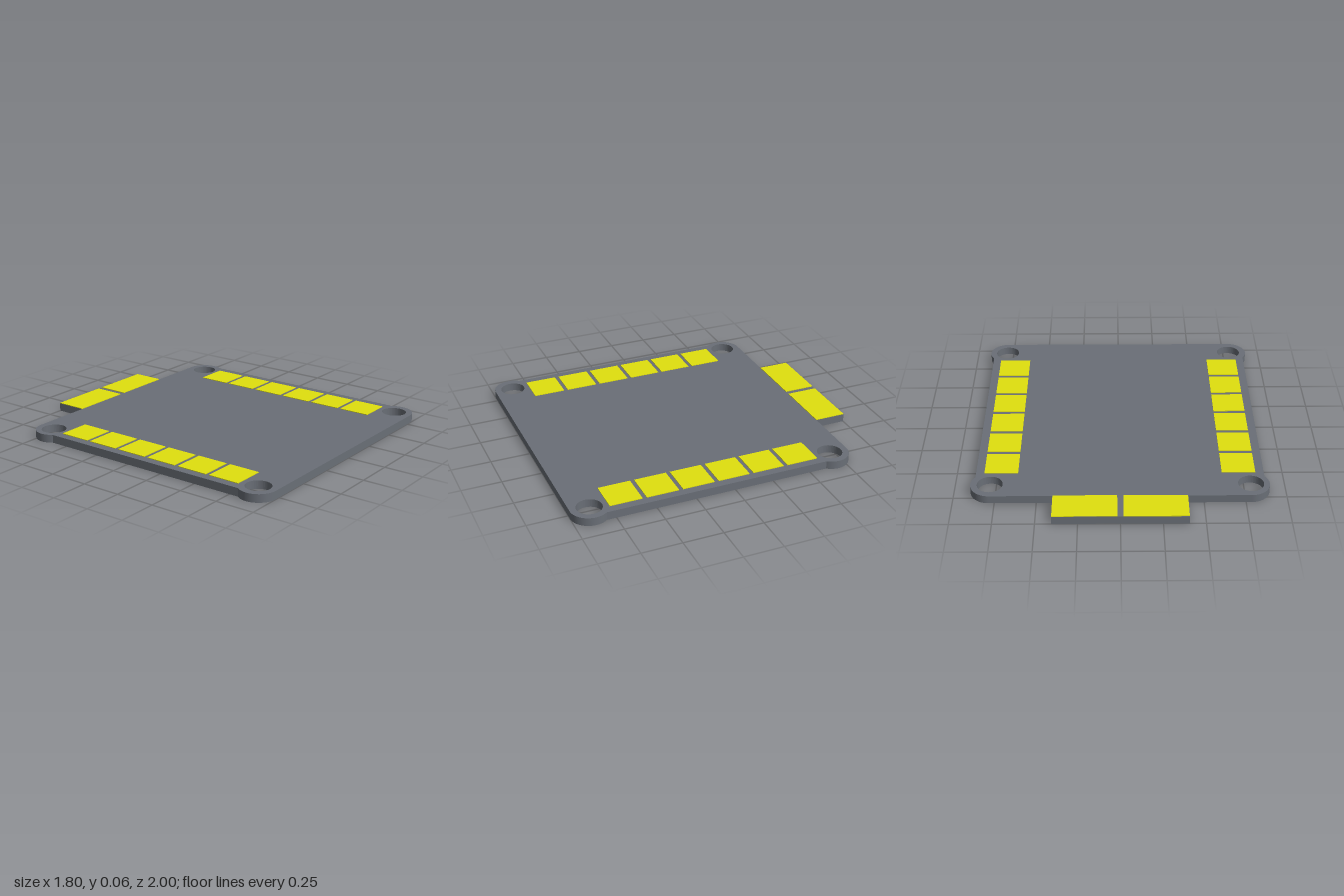
import * as THREE from 'three';

const TOP = 0.052;      // board surface
const PAD_TOP = 0.056;  // contact surface

export function createModel() {
  const group = new THREE.Group();
  group.name = 'circuitBoard';
  const boardMat = new THREE.MeshStandardMaterial({ color: 0x6a6f77 });
  const padMat = new THREE.MeshStandardMaterial({ color: 0xe0e00e });

  // Board outline: round lugs on the corners, connector tab at the back (shape y = -z)
  const X = 0.783, BACK = 0.682, FRONT = -0.882, R = 0.118;
  const Q = Math.PI / 2, A = Math.acos((0.876 - X) / R);
  const shape = new THREE.Shape();
  shape.moveTo(X, FRONT - R);
  shape.absarc(X, FRONT, R, -Q, A);
  shape.absarc(X, BACK, R, -A, Q);
  for (const [x, y] of [[0.403, 0.8], [0.403, 1], [-0.403, 1], [-0.403, 0.8]]) shape.lineTo(x, y);
  shape.absarc(-X, BACK, R, Q, Math.PI + A);
  shape.absarc(-X, FRONT, R, Math.PI - A, 3 * Q);
  shape.closePath();

  // Mounting holes
  for (const [x, y] of [[X, BACK], [X, FRONT], [-0.788, BACK], [-0.78, FRONT]]) {
    const hole = new THREE.Path();
    hole.absarc(x, y, 0.078, 0, Math.PI * 2, true);
    shape.holes.push(hole);
  }
  const boardGeo = new THREE.ExtrudeGeometry(shape, {
    depth: TOP - 0.0005, bevelEnabled: false, curveSegments: 24,
  });
  boardGeo.rotateX(-Math.PI / 2);
  boardGeo.translate(0, 0.0005, 0);
  const board = new THREE.Mesh(boardGeo, boardMat);
  board.name = 'board';
  group.add(board);

  // Contacts run through the full thickness of the board
  function addPad(name, x, z, w, d) {
    const pad = new THREE.Mesh(new THREE.BoxGeometry(w, PAD_TOP, d), padMat);
    pad.name = name;
    pad.position.set(x, PAD_TOP / 2, z);
    group.add(pad);
  }

  for (const side of [1, -1]) {
    const label = side > 0 ? 'left' : 'right';
    // Row of six side contacts
    for (let i = 0; i < 6; i++) {
      addPad(`${label}Contact${i + 1}`, side * 0.722, -0.471 + i * 0.2285, 0.205, 0.203);
    }
    // Wide contact on the back tab, just inside its edges
    addPad(`${label}TabContact`, side * 0.21, -0.899, 0.384, 0.2);
  }
  return group;
}
